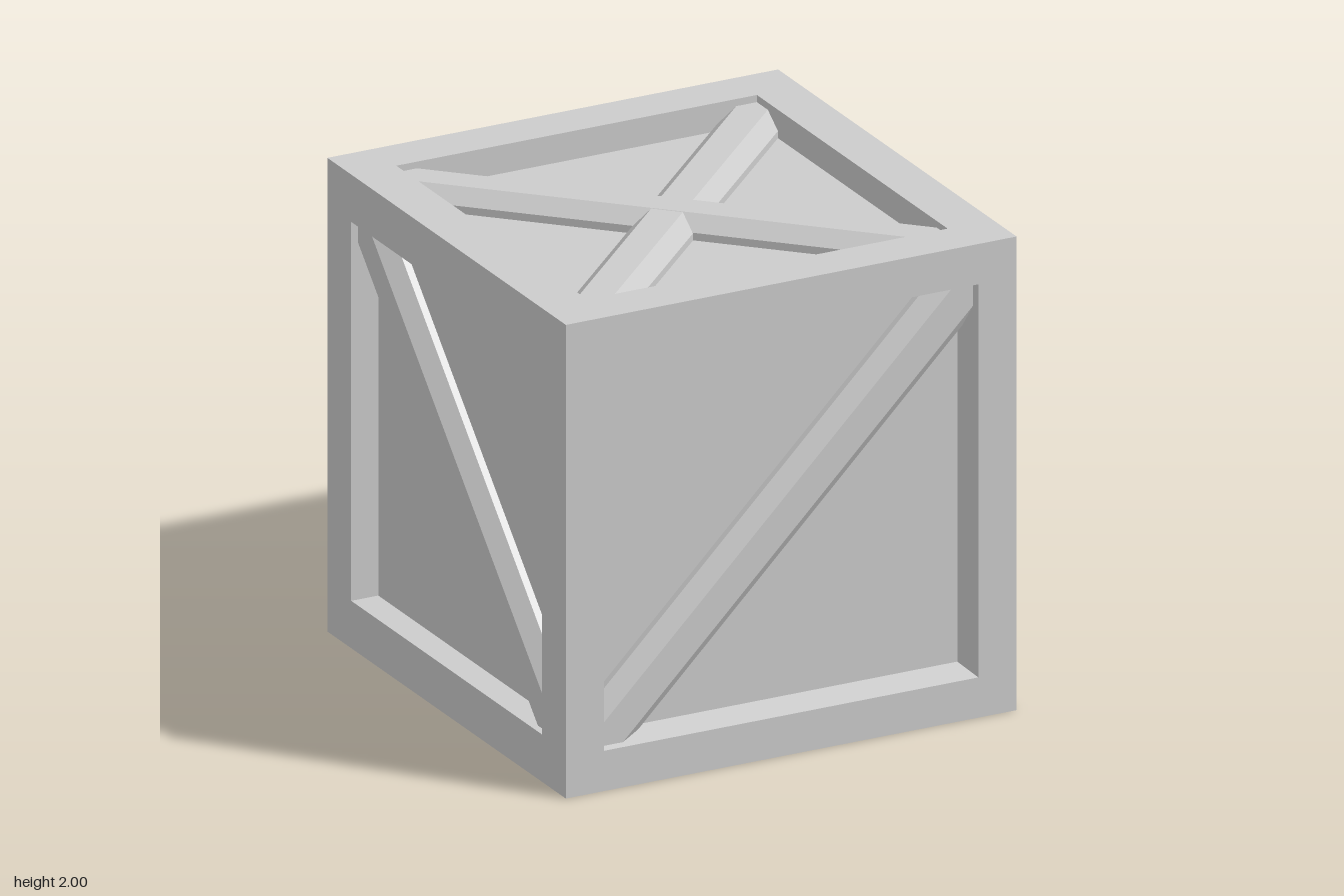
import * as THREE from 'three';

const material = new THREE.MeshStandardMaterial({ color: 0xcccccc, flatShading: true });

// One side of the crate facing +z: flat rim, opening walls and recessed panel
function sidePanel(opening) {
  const profile = [[1, 1], [opening, 1], [0.8, 0.88], [0, 0.88]]
    .map(([halfWidth, depth]) => new THREE.Vector2(halfWidth * Math.SQRT2, depth));
  const geometry = new THREE.LatheGeometry(profile, 4, Math.PI / 4);
  geometry.rotateX(Math.PI / 2);
  const mesh = new THREE.Mesh(geometry, material);
  mesh.name = 'frameAndPanel';
  return mesh;
}

// Diagonal plank with bevelled long edges; its ends run into the frame
function brace(degrees, lift) {
  const section = new THREE.Shape([
    [-0.125, 0.86], [0.125, 0.86], [0.125, 0.91],
    [0.065, 0.97], [-0.065, 0.97], [-0.125, 0.91],
  ].map(([x, y]) => new THREE.Vector2(x, y + lift)));
  const geometry = new THREE.ExtrudeGeometry(section, { depth: 2.4, bevelEnabled: false });
  geometry.translate(0, 0, -1.2);
  geometry.rotateX(Math.PI / 2);
  geometry.rotateZ(THREE.MathUtils.degToRad(degrees - 90));
  const mesh = new THREE.Mesh(geometry, material);
  mesh.name = 'diagonalBrace';
  return mesh;
}

export function createModel() {
  const crate = new THREE.Group();
  crate.name = 'crate';
  const q = Math.PI / 2;

  // Name, rotation about x and y, half opening at the rim, brace angles
  const sides = [
    ['frontSide', 0, 0, 0.83, [45]],
    ['backSide', 0, 2 * q, 0.8, [45]],
    ['plusXSide', 0, q, 0.8, [135]],
    ['minusXSide', 0, -q, 0.8, [135]],
    ['topSide', -q, 0, 0.8, [45, 135]],
    ['bottomSide', q, 0, 0.8, [45, 135]],
  ];
  for (const [name, rx, ry, opening, angles] of sides) {
    const side = new THREE.Group();
    side.name = name;
    side.add(sidePanel(opening));
    // Crossing braces differ by a hair in height so their faces do not coincide
    angles.forEach((angle, i) => side.add(brace(angle, i * 0.002)));
    side.rotation.set(rx, ry, 0);
    side.position.y = 1;
    crate.add(side);
  }
  return crate;
}
